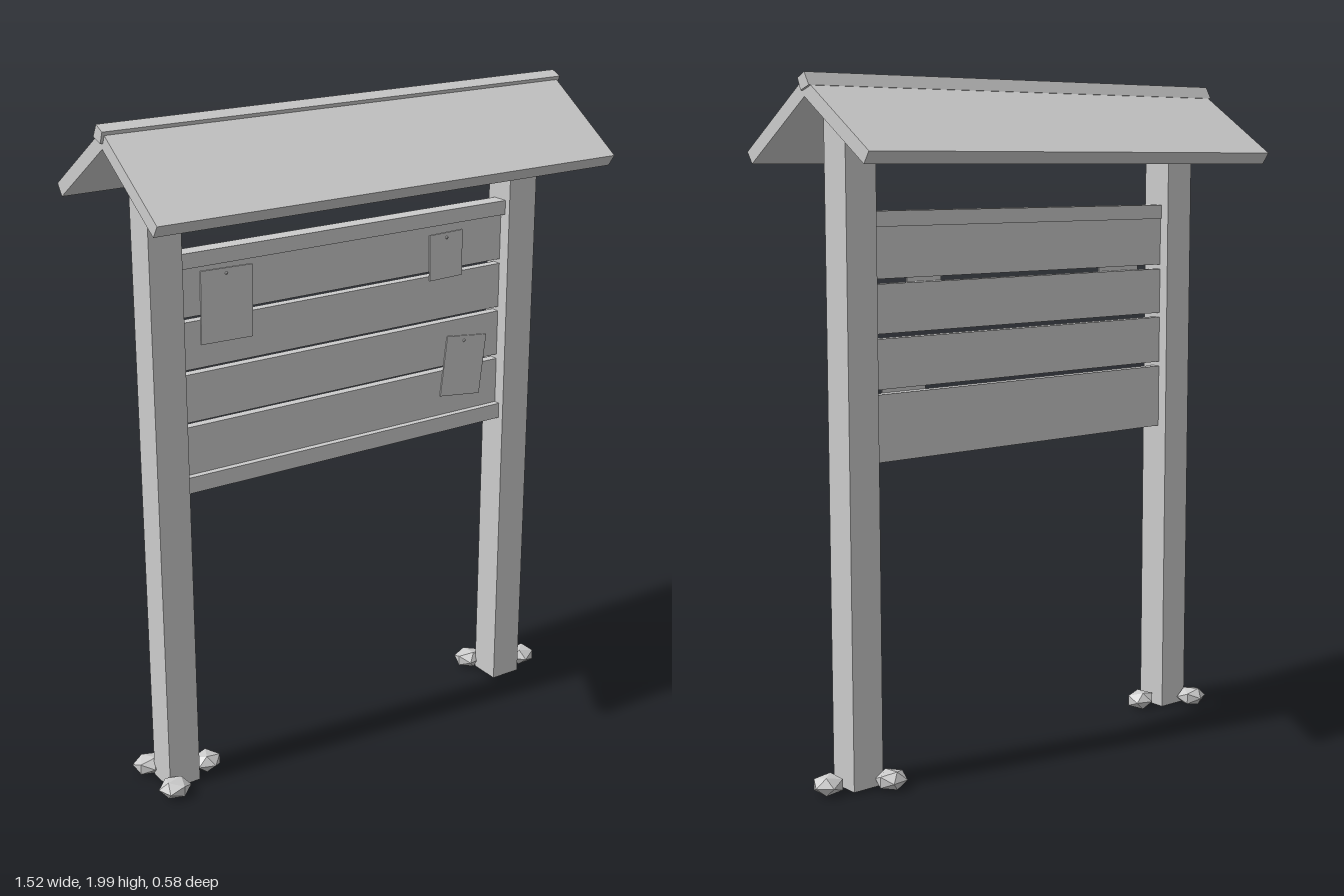
import * as THREE from 'three';

export function createModel() {
  const model = new THREE.Group();
  model.name = 'noticeBoard';
  const grey = new THREE.MeshStandardMaterial({ color: 0xcccccc });
  grey.name = 'paleGrey';

  const add = (name, geometry, x = 0, y = 0, z = 0) => {
    const mesh = new THREE.Mesh(geometry, grey);
    mesh.name = name;
    mesh.position.set(x, y, z);
    model.add(mesh);
    return mesh;
  };

  // Box given by its limits on each axis
  const block = (name, x0, x1, y0, y1, z0, z1) =>
    add(name, new THREE.BoxGeometry(x1 - x0, y1 - y0, z1 - z0),
      (x0 + x1) / 2, (y0 + y1) / 2, (z0 + z1) / 2);

  // Bar along x with a [z, y] cross-section
  const bar = (name, x0, x1, profile) => {
    const shape = new THREE.Shape(profile.map(([z, y]) => new THREE.Vector2(-z, y)));
    const geometry = new THREE.ExtrudeGeometry(shape, { depth: x1 - x0, bevelEnabled: false });
    geometry.rotateY(Math.PI / 2);
    return add(name, geometry, x0);
  };

  // Posts with tops cut to the roof pitch
  for (const [name, x] of [['rightPost', -0.61], ['leftPost', 0.607]]) {
    bar(name, x - 0.05, x + 0.05,
      [[-0.05, 0.015], [0.05, 0.015], [0.05, 1.905], [0, 1.938], [-0.05, 1.905]]);
  }

  // Board planks with open gaps between them
  const cuts = [0.935, 1.133, 1.288, 1.44, 1.592];
  for (let i = 0; i < 4; i++) {
    block('plank', -0.56, 0.557,
      cuts[i] + (i ? 0.007 : 0), cuts[i + 1] - (i < 3 ? 0.007 : 0), -0.018, 0.01);
  }
  block('topRail', -0.56, 0.557, 1.59, 1.633, -0.022, 0.03);
  block('bottomRail', -0.56, 0.557, 0.935, 0.983, 0.01, 0.03);

  // Pinned notes: x, y, width, height, tilt
  const notes = [
    [-0.405, 1.465, 0.165, 0.21, -0.02],
    [0.35, 1.49, 0.12, 0.14, 0.02],
    [0.425, 1.13, 0.15, 0.19, -0.12],
  ];
  for (const [x, y, w, h, tilt] of notes) {
    add('note', new THREE.BoxGeometry(w, h, 0.004), x, y, 0.012).rotation.z = tilt;
    add('pin', new THREE.IcosahedronGeometry(0.005), x, y + h / 2 - 0.015, 0.015);
  }

  // Pitched roof and ridge cap
  for (const [name, s] of [['frontRoof', 1], ['backRoof', -1]]) {
    bar(name, -0.755, 0.75,
      [[0, 1.985], [0.288 * s, 1.793], [0.265 * s, 1.76], [0, 1.936]]);
  }
  bar('ridgeCap', -0.763, 0.758,
    [[-0.013, 2], [0.02, 1.985], [0.006, 1.952], [-0.033, 1.965]]);

  // Stones around the post feet: x, z, turn
  const stones = [
    [-0.66, 0.08, 0.3], [-0.51, 0, 1.2], [-0.663, -0.08, 2.1],
    [0.71, 0, 0.8], [0.55, -0.08, 1.7],
  ];
  for (const [x, z, turn] of stones) {
    const geometry = new THREE.IcosahedronGeometry(0.05);
    geometry.rotateY(turn);
    geometry.scale(1, 0.62, 0.9);
    add('stone', geometry, x, 0.038, z);
  }
  return model;
}
